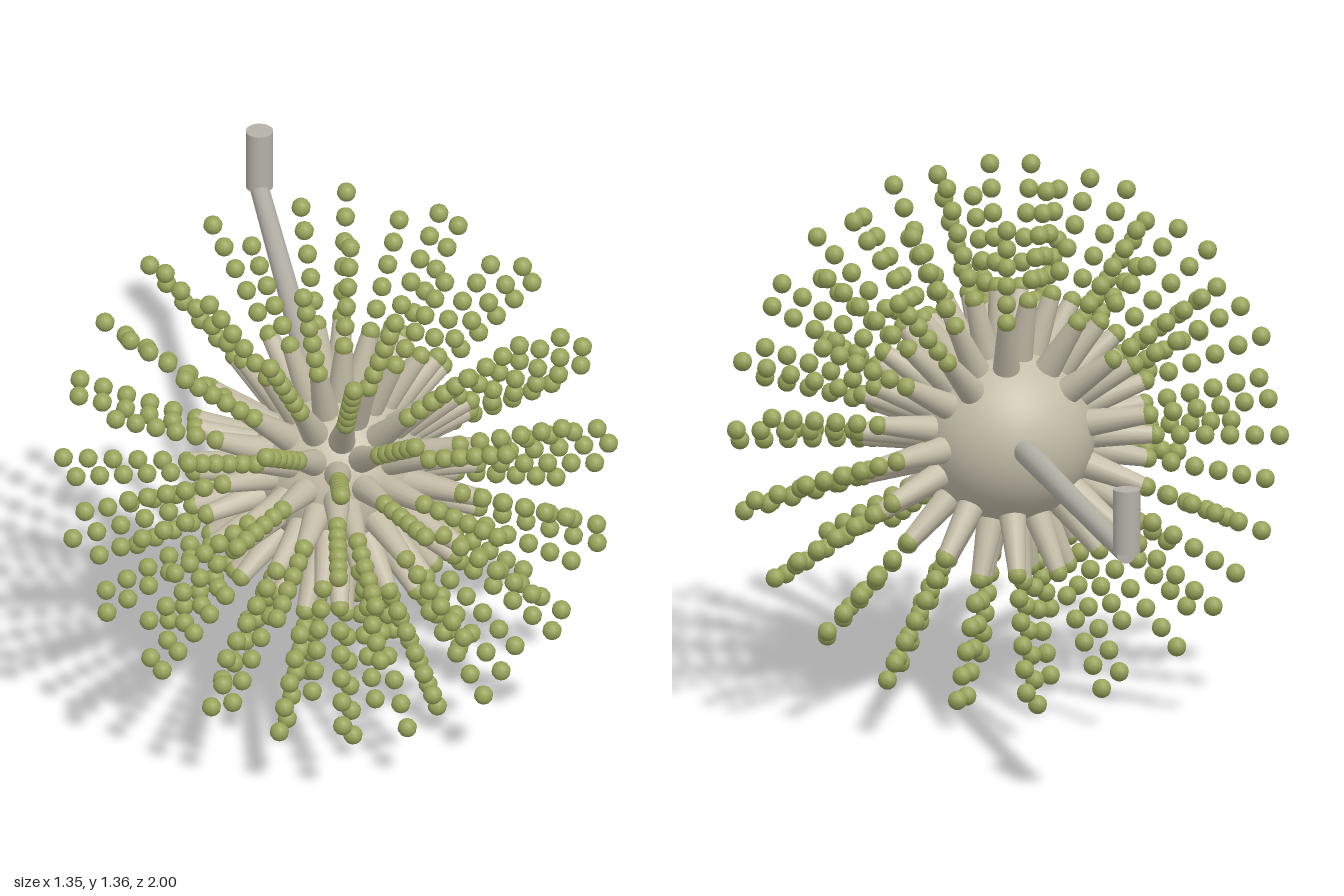
import * as THREE from 'three';

const CENTRE = new THREE.Vector3(0, 0.677, 0.317);
const HUB_RADIUS = 0.215;
const TIP = 0.66;          // distance of the outermost bead from the hub centre
const UP = new THREE.Vector3(0, 1, 0);

export function createModel() {
  const group = new THREE.Group();
  const hubMat = new THREE.MeshStandardMaterial({ color: 0xc4bda8 });
  const beadMat = new THREE.MeshStandardMaterial({ color: 0x98a35a });
  const rodMat = new THREE.MeshStandardMaterial({ color: 0xb4b1a8 });

  const add = (parent, name, geometry, material, position) => {
    const mesh = new THREE.Mesh(geometry, material);
    mesh.name = name;
    mesh.position.copy(position);
    parent.add(mesh);
    return mesh;
  };

  // Round hub
  add(group, 'hub', new THREE.SphereGeometry(HUB_RADIUS, 40, 28), hubMat, CENTRE);

  // Tapered spokes, each continued by a row of beads
  const spokeStart = 0.19, spokeEnd = 0.36;
  const spokeGeo = new THREE.CylinderGeometry(0.021, 0.035, spokeEnd - spokeStart, 14);
  const beadGeo = new THREE.SphereGeometry(0.0235, 12, 8);
  const beadsPerSpoke = 6, beadGap = 0.06;

  // Golden-angle spiral from the front pole, leaving the back bare
  const total = 120, golden = Math.PI * (3 - Math.sqrt(5));
  for (let i = 0; i < total; i++) {
    const z = 1 - (2 * i) / (total - 1);
    if (z < -0.55) break;
    const r = Math.sqrt(1 - z * z);
    const dir = new THREE.Vector3(r * Math.cos(i * golden), r * Math.sin(i * golden), z);
    const at = (d) => CENTRE.clone().addScaledVector(dir, d);

    const stalk = new THREE.Group();
    stalk.name = 'stalk';
    const spoke = add(stalk, 'spoke', spokeGeo, hubMat, at((spokeStart + spokeEnd) / 2));
    spoke.quaternion.setFromUnitVectors(UP, dir);
    for (let b = 0; b < beadsPerSpoke; b++) {
      add(stalk, 'bead', beadGeo, beadMat, at(TIP - b * beadGap));
    }
    group.add(stalk);
  }

  // Rod running back from the hub, slightly tapered
  const rodFront = 0.15, rodBack = -0.962;
  const rod = add(group, 'rod', new THREE.CylinderGeometry(0.03, 0.023, rodFront - rodBack, 24),
    rodMat, new THREE.Vector3(0, 0.682, (rodFront + rodBack) / 2));
  rod.rotation.x = Math.PI / 2;

  // Upright post at the end of the rod
  add(group, 'endPost', new THREE.CylinderGeometry(0.033, 0.033, 0.157, 24),
    rodMat, new THREE.Vector3(0, 0.767, -0.967));

  return group;
}
